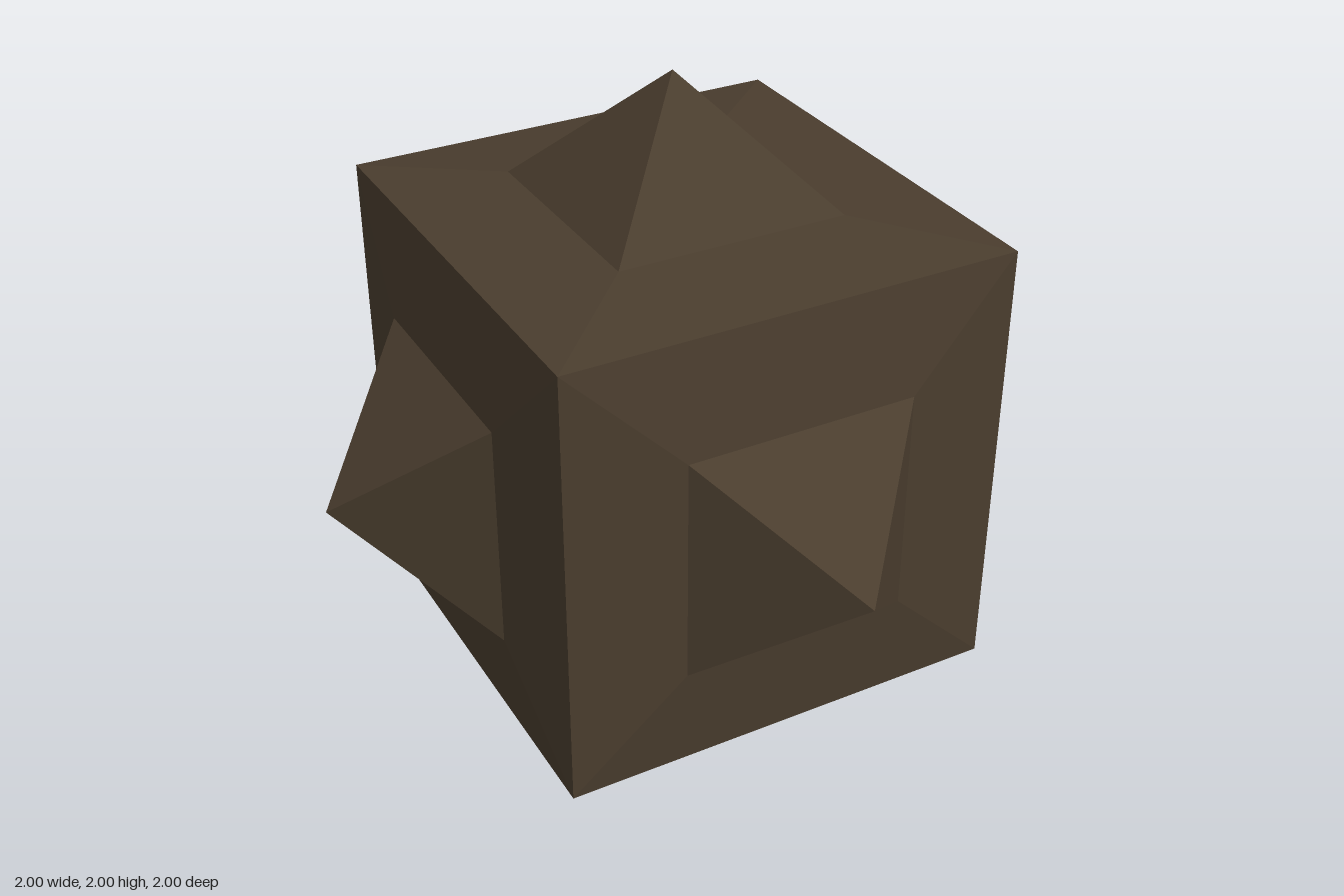
import * as THREE from 'three';

const CUBE = 0.627;   // half width of the cubic body
const RISE = 0.665;   // distance from centre to the base of each spike
const BASE = 0.318;   // half width of a spike base
const TIP = 1;        // distance from centre to a spike tip

// Square frustum or pyramid along +y, sides aligned with the axes
function squareTaper(topHalf, bottomHalf, y0, y1) {
  const g = new THREE.CylinderGeometry(
    topHalf * Math.SQRT2, bottomHalf * Math.SQRT2, y1 - y0, 4, 1, true);
  g.rotateY(Math.PI / 4);
  g.translate(0, (y0 + y1) / 2, 0);
  return g;
}

export function createModel() {
  const model = new THREE.Group();
  model.name = 'spikedCube';
  const brown = new THREE.MeshStandardMaterial({ color: 0x4a3d2e, flatShading: true });
  brown.name = 'dark brown';

  const panelGeometry = squareTaper(BASE, CUBE, CUBE, RISE);
  const spikeGeometry = squareTaper(0, BASE, RISE, TIP);

  // One raised panel with a pyramid spike on each of the six sides
  const sides = {
    top: [0, 0], bottom: [Math.PI, 0],
    front: [Math.PI / 2, 0], back: [-Math.PI / 2, 0],
    left: [0, -Math.PI / 2], right: [0, Math.PI / 2],
  };
  for (const [name, [rx, rz]] of Object.entries(sides)) {
    const side = new THREE.Group();
    side.name = name + 'Side';
    const panel = new THREE.Mesh(panelGeometry, brown);
    panel.name = name + 'Panel';
    const spike = new THREE.Mesh(spikeGeometry, brown);
    spike.name = name + 'Spike';
    side.add(panel, spike);
    side.rotation.set(rx, 0, rz);
    side.position.y = 1;
    model.add(side);
  }
  return model;
}
